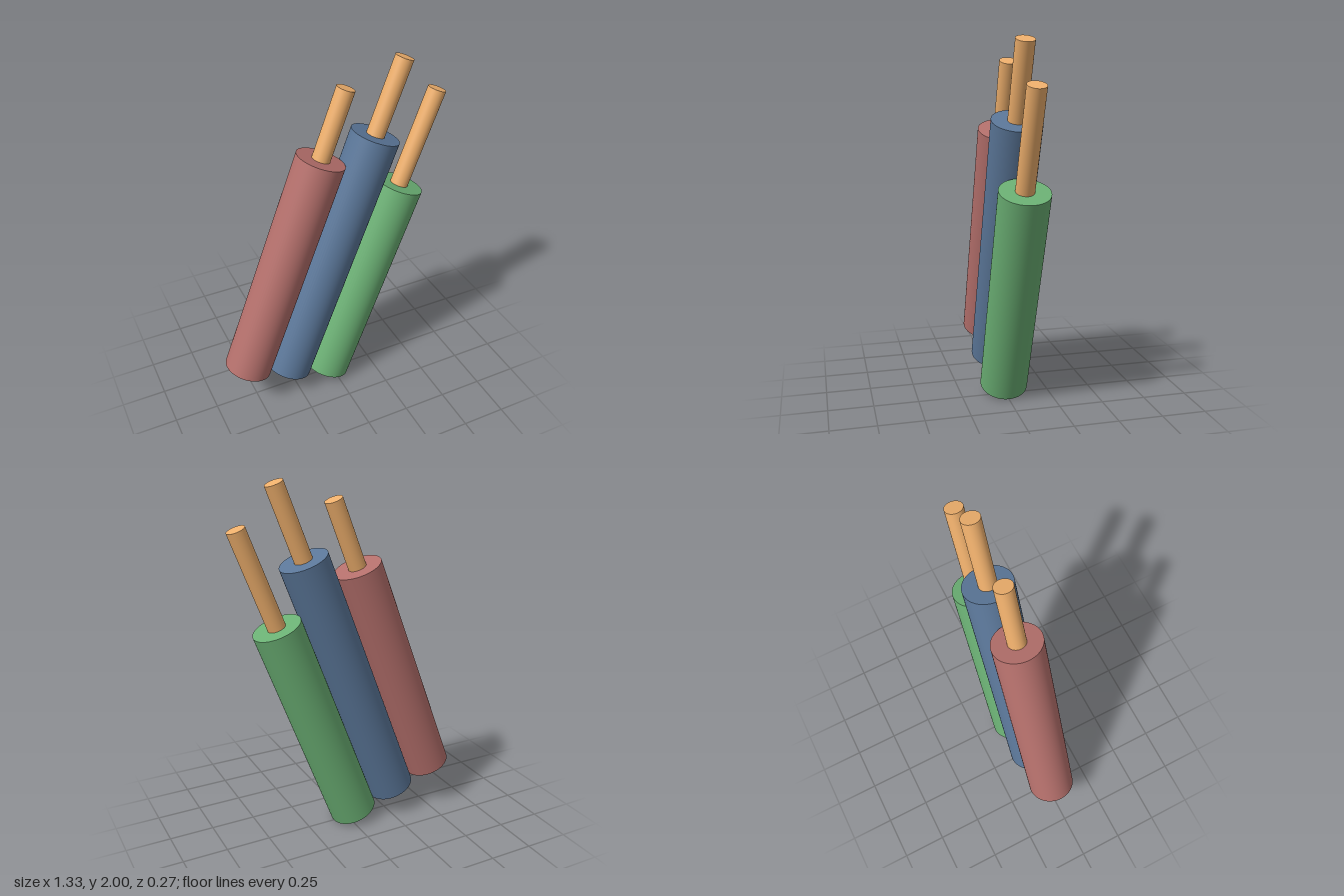
import * as THREE from 'three';

const TILT = 0.361; // lean of the bundle toward +x
const RADIUS = 0.135;
const CORE_RADIUS = 0.05;
const PITCH = 0.269;

// Cylinder standing on the local y = base
function rod(name, radius, base, length, color) {
  const geometry = new THREE.CylinderGeometry(radius, radius, length, 64);
  geometry.translate(0, base + length / 2, 0);
  const mesh = new THREE.Mesh(geometry, new THREE.MeshStandardMaterial({ color }));
  mesh.name = name;
  return mesh;
}

export function createModel() {
  const model = new THREE.Group();
  model.name = 'wireBundle';

  // Three insulated wires side by side, each with a bare copper end
  const wires = [
    { name: 'red', color: 0xb5706c, sleeve: 1.357, core: 0.394 },
    { name: 'blue', color: 0x5b7799, sleeve: 1.534, core: 0.43 },
    { name: 'green', color: 0x6bb074, sleeve: 1.273, core: 0.565 },
  ];
  wires.forEach(({ name, color, sleeve, core }, i) => {
    const wire = new THREE.Group();
    wire.name = `${name}Wire`;
    wire.position.x = (i - 1) * PITCH;
    wire.add(
      rod(`${name}Insulation`, RADIUS, 0, sleeve, color),
      // the core starts slightly inside the insulation
      rod(`${name}CopperCore`, CORE_RADIUS, sleeve - 0.03, core + 0.03, 0xeeaf6c),
    );
    model.add(wire);
  });

  // Lean the row so the lowest rim touches the ground
  model.rotation.z = -TILT;
  model.position.set(-0.288, (PITCH + RADIUS) * Math.sin(TILT), 0);

  const root = new THREE.Group();
  root.name = 'electricalWires';
  root.add(model);
  return root;
}
